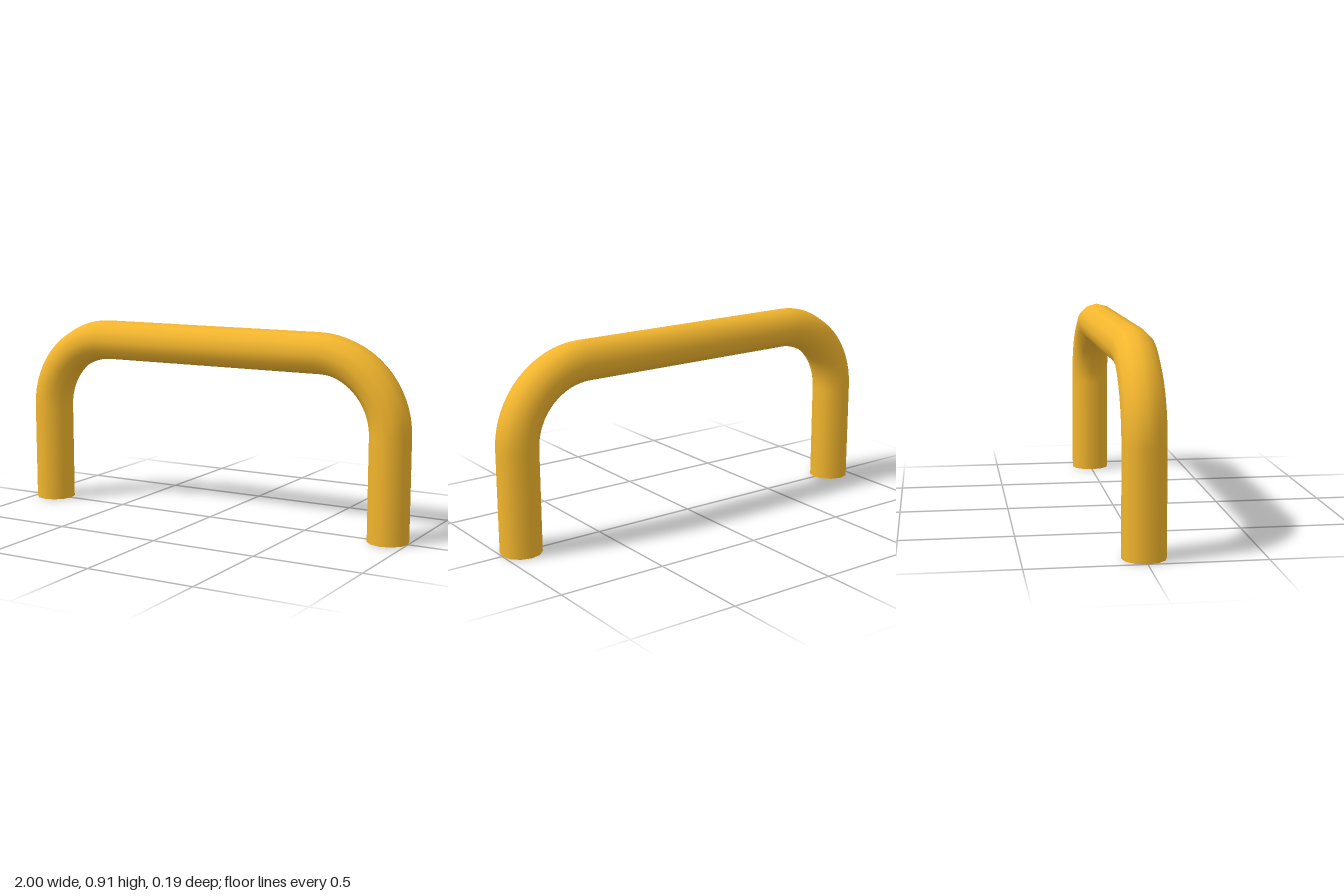
import * as THREE from 'three';

const R = 0.094;       // tube radius
const SIDES = 12;      // sides of the tube
const LEG_X = 0.906;   // leg centre line
const BAR_Y = 0.816;   // crossbar centre line
const BEND = 0.345;    // centre-line radius of the bends

export function createModel() {
  const group = new THREE.Group();
  group.name = 'tubularHandle';
  const material = new THREE.MeshStandardMaterial({ color: 0xf2b52d, side: THREE.DoubleSide });

  const add = (name, geometry, x, y) => {
    const mesh = new THREE.Mesh(geometry, material);
    mesh.name = name;
    mesh.position.set(x, y, 0);
    group.add(mesh);
    return mesh;
  };
  // straight open-ended length of tube
  const pipe = (length) => new THREE.CylinderGeometry(R, R, length, SIDES, 1, true);

  const legHeight = BAR_Y - BEND;
  const bendX = LEG_X - BEND;

  // horizontal bar across the top
  add('crossbar', pipe(2 * bendX).rotateZ(Math.PI / 2), 0, BAR_Y);

  for (const [side, s] of [['left', 1], ['right', -1]]) {
    // upright leg, open at the foot
    add(side + 'Leg', pipe(legHeight), s * LEG_X, legHeight / 2);
    // quarter bend joining leg and crossbar
    const bend = new THREE.TorusGeometry(BEND, R, SIDES, 16, Math.PI / 2);
    if (s < 0) bend.rotateZ(Math.PI / 2);
    add(side + 'Bend', bend, s * bendX, legHeight);
  }
  return group;
}
